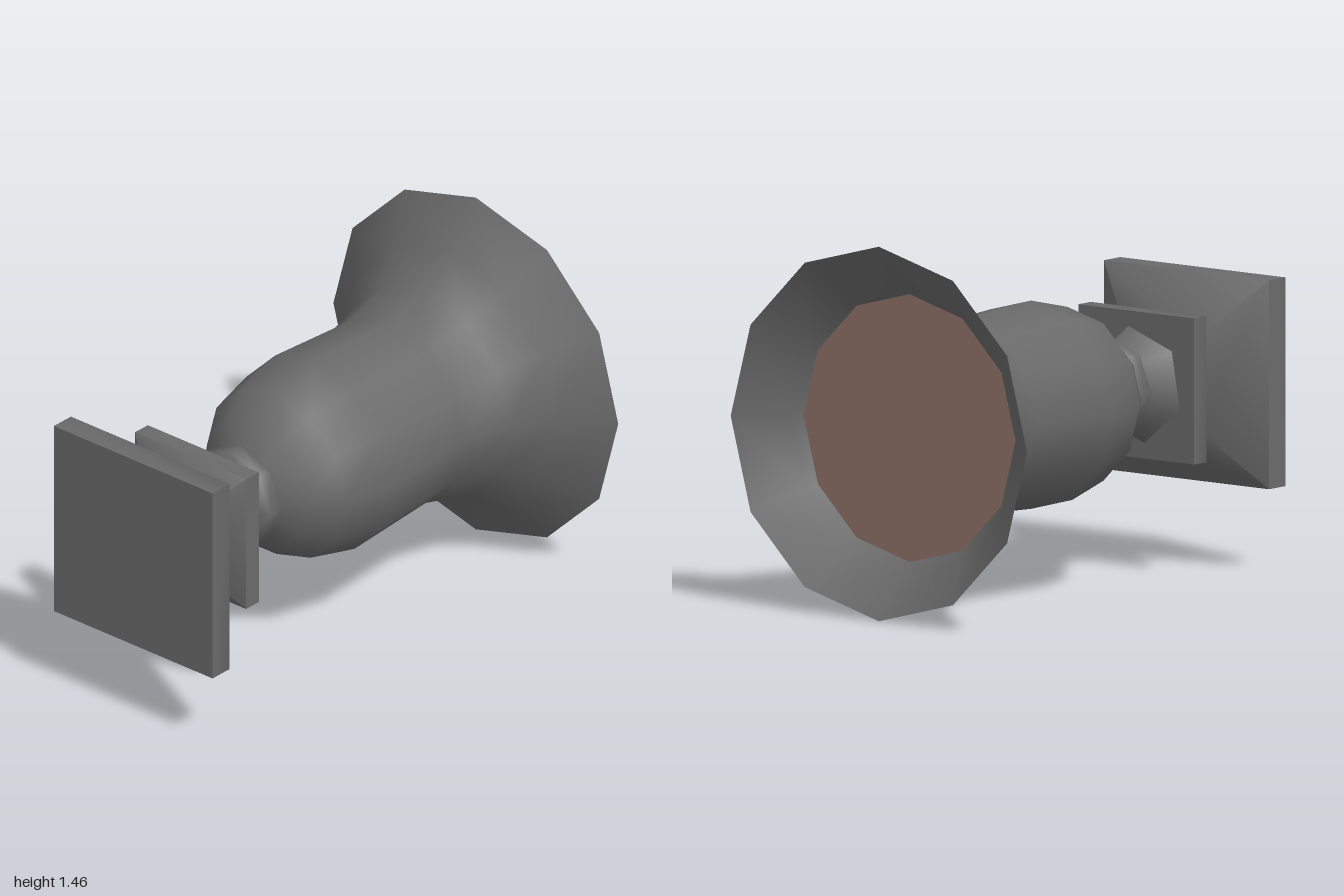
import * as THREE from 'three';
import { toCreasedNormals } from 'three/addons/utils/BufferGeometryUtils.js';

const AXIS_Y = 0.73; // height of the urn's axis, which lies along z

export function createModel() {
  const stone = new THREE.MeshStandardMaterial({ color: 0x6a6a6a });
  stone.name = 'grey stone';
  const stoneShell = stone.clone(); // same stone, for the open bowl
  stoneShell.side = THREE.DoubleSide;
  const earth = new THREE.MeshStandardMaterial({ color: 0x8d7166 });
  earth.name = 'brown soil';

  const urn = new THREE.Group();
  urn.name = 'urn';

  function add(name, geometry, material) {
    const mesh = new THREE.Mesh(geometry, material);
    mesh.name = name;
    mesh.position.y = AXIS_Y;
    urn.add(mesh);
  }

  // Turns [radius, z] pairs, listed from back to front, around the z axis.
  function turned(profile, sides, start = 0) {
    const points = profile.map(([r, z]) => new THREE.Vector2(r, z));
    return new THREE.LatheGeometry(points, sides, start).rotateX(Math.PI / 2);
  }

  // Square block: the same, with [half width, z] pairs and sharp outer edges.
  function square(profile) {
    const corners = profile.map(([h, z]) => [h * Math.SQRT2, z]);
    return toCreasedNormals(turned(corners, 4, Math.PI / 4), 1.1);
  }

  // Flared bowl, open at the back
  add('bowl', turned([
    [0.73, -1], [0.552, -0.845], [0.437, -0.7], [0.383, -0.49],
    [0.406, -0.06], [0.354, 0.165], [0.27, 0.28], [0.165, 0.345],
  ], 12), stoneShell);

  // Soil filling the bowl
  add('soil', new THREE.CircleGeometry(0.522, 12).rotateY(Math.PI).translate(0, 0, -0.81), earth);

  // Hexagonal stem and the ring round its neck
  add('stem', turned([[0.16, 0.33], [0.16, 0.46], [0.23, 0.595]], 6, -0.17), stone);
  add('neckRing', turned([
    [0.13, 0.34], [0.165, 0.343], [0.205, 0.372], [0.205, 0.43], [0.165, 0.459], [0.13, 0.462],
  ], 8), stone);

  // Square collar and foot
  add('collar', square([[0, 0.59], [0.285, 0.59], [0.285, 0.665], [0.177, 0.74]]), stone);
  add('foot', square([[0.177, 0.74], [0.407, 0.9], [0.407, 1], [0, 1]]), stone);

  return urn;
}
